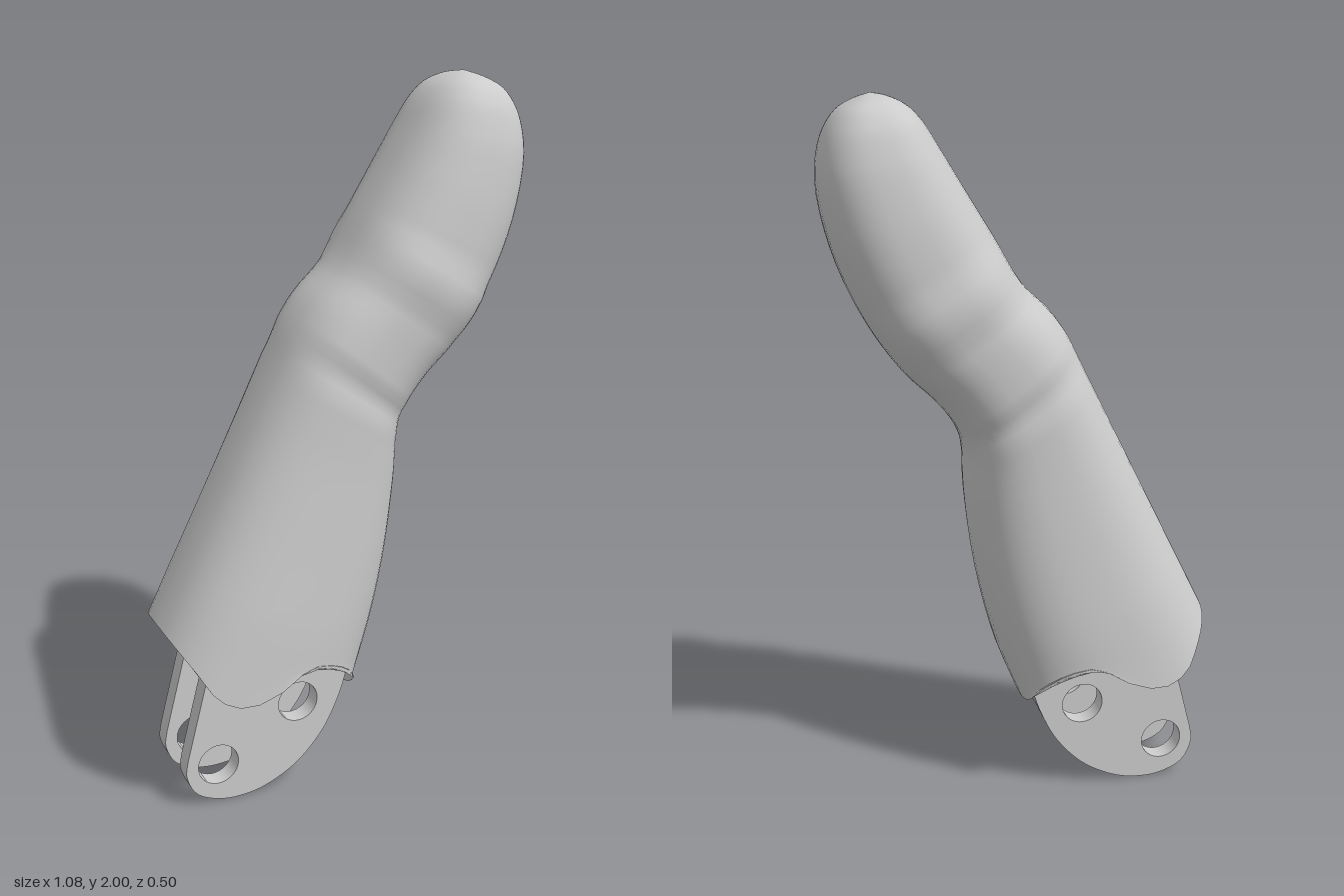
import * as THREE from 'three';

const V = (x, y, z = 0) => new THREE.Vector3(x, y, z);
const grey = () => new THREE.MeshStandardMaterial({ color: 0xcccccc, roughness: 0.7 });

// Finger cross-sections: back x, back y, front x, front y, half width
const SECTIONS = [
  [-0.54, 0.53, 0.0, 0.27, 0.252],
  [-0.48, 0.65, 0.06, 0.42, 0.247],
  [-0.38, 0.85, 0.12, 0.66, 0.234],
  [-0.26, 1.09, 0.15, 0.9, 0.222],
  [-0.18, 1.25, 0.155, 1.03, 0.22],
  [-0.13, 1.35, 0.18, 1.1, 0.22],
  [-0.08, 1.42, 0.24, 1.18, 0.222],
  [0.0, 1.5, 0.33, 1.27, 0.226],
  [0.08, 1.635, 0.43, 1.42, 0.226],
  [0.15, 1.75, 0.505, 1.6, 0.217],
  [0.21, 1.85, 0.538, 1.78, 0.197],
  [0.26, 1.93, 0.52, 1.89, 0.167],
  [0.3, 1.97, 0.48, 1.955, 0.128],
  [0.35, 1.993, 0.43, 1.985, 0.07],
  [0.39, 2.0, 0.39, 2.0, 0.0],
];
const SIDES = 48, SUB = 4;

// Wavy lower rim, from back to front
const rim = new THREE.CatmullRomCurve3([
  V(-0.54, 0.53), V(-0.49, 0.455), V(-0.44, 0.38), V(-0.37, 0.35), V(-0.28, 0.37),
  V(-0.17, 0.43), V(-0.07, 0.4), V(-0.015, 0.34), V(0, 0.27),
]);

const power = (v, e) => Math.sign(v) * Math.pow(Math.abs(v), e);

function ringPoints() {
  const curve = (f) => new THREE.CatmullRomCurve3(SECTIONS.map(f));
  const back = curve((s) => V(s[0], s[1]));
  const front = curve((s) => V(s[2], s[3]));
  const width = curve((s) => V(s[4], 0));
  const count = (SECTIONS.length - 1) * SUB;
  const rings = [];
  for (let i = 0; i <= count; i++) {
    const b = back.getPoint(i / count), f = front.getPoint(i / count);
    const w = width.getPoint(i / count).x;
    const fade = Math.max(0, 1 - i / SUB);
    const ring = [];
    for (let j = 0; j < SIDES; j++) {
      const a = (j / SIDES) * Math.PI * 2;
      const u = THREE.MathUtils.clamp((1 - power(Math.cos(a), 0.8)) / 2, 0, 1);
      const p = b.clone().lerp(f, u).lerp(rim.getPointAt(u), fade);
      p.z = w * power(Math.sin(a), 0.8);
      ring.push(p);
    }
    rings.push(ring);
  }
  return rings;
}

function makeGeometry(points, index) {
  const g = new THREE.BufferGeometry().setFromPoints(points);
  g.setIndex(index);
  g.computeVertexNormals();
  return g;
}

// Smooth lofted skin
function skinGeometry(rings) {
  const index = [];
  const last = rings.length - 1;
  const tip = last * SIDES;
  for (let i = 0; i < last; i++) {
    for (let j = 0; j < SIDES; j++) {
      const k = (j + 1) % SIDES;
      const a = i * SIDES + j, b = i * SIDES + k;
      if (i === last - 1) index.push(a, b, tip);
      else index.push(a, b, a + SIDES, b, b + SIDES, a + SIDES);
    }
  }
  return makeGeometry([...rings.slice(0, last).flat(), rings[last][0]], index);
}

// Underside ruled straight across the rim
function undersideGeometry(ring) {
  const points = [], index = [];
  for (let j = 0; j <= SIDES / 2; j++) {
    points.push(ring[j], ring[(SIDES - j) % SIDES]);
    if (j < SIDES / 2) {
      const a = j * 2;
      index.push(a, a + 1, a + 2, a + 1, a + 3, a + 2);
    }
  }
  return makeGeometry(points, index);
}

// Hinge plate outline with two pin holes
function prongShape() {
  const s = new THREE.Shape();
  s.moveTo(-0.43, 0.42);
  s.lineTo(-0.5, 0.15);
  s.splineThru([[-0.505, 0.1], [-0.48, 0.045], [-0.43, 0.015], [-0.36, 0.003], [-0.27, 0.017], [-0.17, 0.07],
    [-0.09, 0.155], [-0.04, 0.25], [-0.01, 0.34]].map(([x, y]) => new THREE.Vector2(x, y)));
  s.lineTo(-0.07, 0.42);
  s.lineTo(-0.17, 0.46);
  s.lineTo(-0.3, 0.41);
  s.lineTo(-0.37, 0.39);
  s.closePath();
  for (const [x, y] of [[-0.41, 0.12], [-0.165, 0.265]]) {
    s.holes.push(new THREE.Path().absarc(x, y, 0.06, 0, Math.PI * 2, true));
  }
  return s;
}

export function createModel() {
  const group = new THREE.Group();
  const add = (name, geometry, z = 0) => {
    const mesh = new THREE.Mesh(geometry, grey());
    mesh.name = name;
    mesh.position.z = z;
    group.add(mesh);
    return mesh;
  };

  const rings = ringPoints();
  add('fingerSkin', skinGeometry(rings));
  add('fingerUnderside', undersideGeometry(rings[0])).material.side = THREE.DoubleSide;

  // Pair of hinge prongs
  const prong = new THREE.ExtrudeGeometry(prongShape(), { depth: 0.057, bevelEnabled: false, curveSegments: 24 });
  add('leftHingeProng', prong, 0.065);
  add('rightHingeProng', prong, -0.122);

  // Web joining the prongs at the front
  const web = new THREE.Shape([[-0.1, 0.42], [-0.1, 0.34], [-0.07, 0.29], [-0.035, 0.262], [-0.012, 0.3],
    [-0.01, 0.35], [-0.05, 0.41]].map(([x, y]) => new THREE.Vector2(x, y)));
  add('hingeWeb', new THREE.ExtrudeGeometry(web, { depth: 0.14, bevelEnabled: false }), -0.07);

  return group;
}
